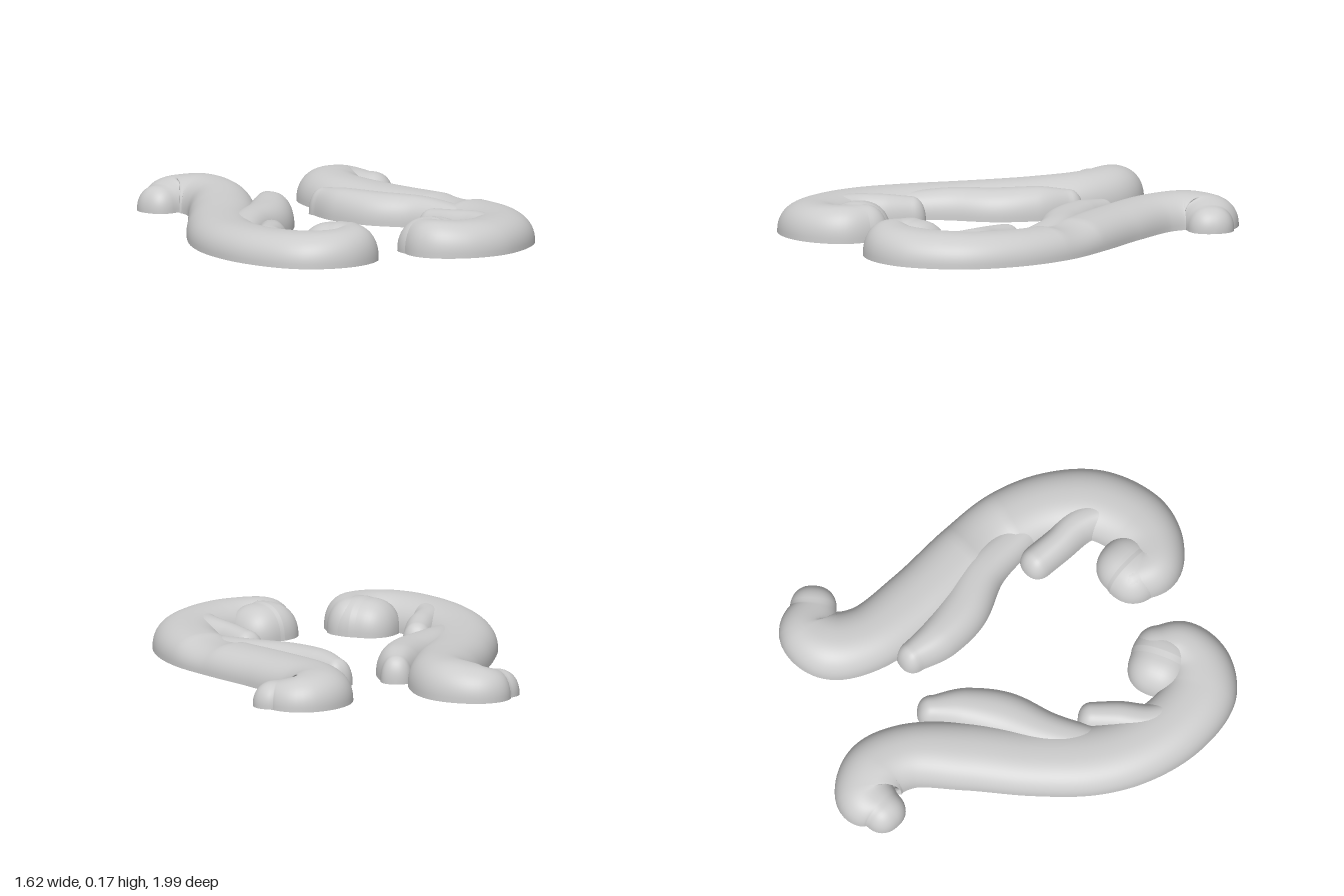
import * as THREE from 'three';

const material = new THREE.MeshStandardMaterial({ color: 0xcccccc });
const ARC = 28;     // steps across the domed section
const CAP = 12;     // rings in each rounded end
const POWER = 2 / 2.3; // slightly squared dome

const bulge = (v) => Math.sign(v) * Math.pow(Math.abs(v), POWER);

// Flat-bottomed, round-ended relief stroke; each point is [x, z, half width, height]
function stroke(name, points) {
  const path = new THREE.CatmullRomCurve3(points.map(([x, z]) => new THREE.Vector3(x, 0, z)));
  const size = new THREE.CatmullRomCurve3(points.map(([, , w, h]) => new THREE.Vector3(w, h, 0)));
  const up = new THREE.Vector3(0, 1, 0);
  const positions = [];
  const index = [];
  let rings = 0;

  // One section: dome vertices, then two separate vertices for the flat base
  function ring(t, capAngle) {
    const tangent = path.getTangent(t);
    const side = up.clone().cross(tangent);
    const s = size.getPoint(t);
    const centre = path.getPoint(t).addScaledVector(tangent, s.x * bulge(Math.sin(capAngle)));
    const k = bulge(Math.max(0, Math.cos(capAngle)));
    const add = (across, height) => {
      const p = centre.clone().addScaledVector(side, across * s.x * k);
      positions.push(p.x, height * s.y * k, p.z);
    };
    for (let j = 0; j <= ARC; j++) {
      const a = (Math.PI * j) / ARC;
      add(bulge(Math.cos(a)), j === ARC ? 0 : bulge(Math.sin(a)));
    }
    add(-1, 0);
    add(1, 0);
    rings++;
  }

  const steps = (points.length - 1) * 10;
  for (let i = CAP; i > 0; i--) ring(0, (-Math.PI / 2) * (i / CAP));
  for (let i = 0; i <= steps; i++) ring(i / steps, 0);
  for (let i = 1; i <= CAP; i++) ring(1, (Math.PI / 2) * (i / CAP));

  const row = ARC + 3;
  for (let i = 0; i < rings - 1; i++) {
    for (let j = 0; j < row - 1; j++) {
      if (j === ARC) continue;
      const a = i * row + j;
      index.push(a, a + 1, a + row, a + 1, a + row + 1, a + row);
    }
  }
  const geometry = new THREE.BufferGeometry();
  geometry.setAttribute('position', new THREE.Float32BufferAttribute(positions, 3));
  geometry.setIndex(index);
  geometry.computeVertexNormals();
  const mesh = new THREE.Mesh(geometry, material);
  mesh.name = name;
  return mesh;
}

// The two scrolls are near mirror images with hand-carved differences
const scrolls = {
  rightScroll: {
    stem: [
      [-0.55, -0.8, 0.105, 0.12], [-0.465, -0.84, 0.155, 0.15], [-0.36, -0.77, 0.16, 0.165],
      [-0.333, -0.61, 0.155, 0.16], [-0.418, -0.344, 0.165, 0.145], [-0.545, -0.053, 0.165, 0.135],
      [-0.624, 0.21, 0.17, 0.135], [-0.635, 0.42, 0.17, 0.14], [-0.582, 0.635, 0.17, 0.145],
      [-0.466, 0.8, 0.17, 0.15], [-0.34, 0.84, 0.15, 0.155], [-0.233, 0.79, 0.13, 0.16],
      [-0.21, 0.69, 0.12, 0.16],
    ],
    upperLeaf: [
      [-0.16, -0.42, 0.075, 0.125], [-0.205, -0.28, 0.11, 0.145], [-0.295, -0.115, 0.125, 0.14],
      [-0.445, 0.055, 0.11, 0.135], [-0.575, 0.265, 0.09, 0.11],
    ],
    lowerLeaf: [
      [-0.43, 0.285, 0.075, 0.12], [-0.476, 0.4, 0.085, 0.135], [-0.54, 0.53, 0.09, 0.14],
      [-0.535, 0.66, 0.08, 0.135], [-0.47, 0.76, 0.07, 0.11],
    ],
    curl: [[-0.28, 0.665, 0.15, 0.16], [-0.255, 0.685, 0.155, 0.165]],
  },
  leftScroll: {
    stem: [
      [0.508, -0.79, 0.11, 0.115], [0.4, -0.835, 0.155, 0.145], [0.307, -0.77, 0.165, 0.155],
      [0.286, -0.6, 0.16, 0.15], [0.386, -0.317, 0.165, 0.14], [0.53, -0.026, 0.165, 0.135],
      [0.62, 0.196, 0.165, 0.135], [0.64, 0.423, 0.165, 0.14], [0.577, 0.635, 0.17, 0.145],
      [0.434, 0.778, 0.17, 0.15], [0.307, 0.82, 0.15, 0.155], [0.2, 0.79, 0.13, 0.16],
      [0.185, 0.69, 0.12, 0.155],
    ],
    upperLeaf: [
      [0.132, -0.42, 0.075, 0.125], [0.18, -0.28, 0.105, 0.14], [0.275, -0.13, 0.12, 0.14],
      [0.434, 0.03, 0.105, 0.135], [0.56, 0.265, 0.09, 0.11],
    ],
    lowerLeaf: [
      [0.397, 0.285, 0.08, 0.12], [0.444, 0.4, 0.08, 0.13], [0.508, 0.53, 0.09, 0.14],
      [0.508, 0.65, 0.08, 0.135], [0.444, 0.755, 0.07, 0.11],
    ],
    curl: [[0.235, 0.685, 0.15, 0.155], [0.215, 0.695, 0.155, 0.16]],
  },
};

export function createModel() {
  const model = new THREE.Group();
  model.name = 'scrollOrnaments';
  for (const [side, parts] of Object.entries(scrolls)) {
    const scroll = new THREE.Group();
    scroll.name = side;
    for (const [name, points] of Object.entries(parts)) scroll.add(stroke(name, points));
    model.add(scroll);
  }
  return model;
}
